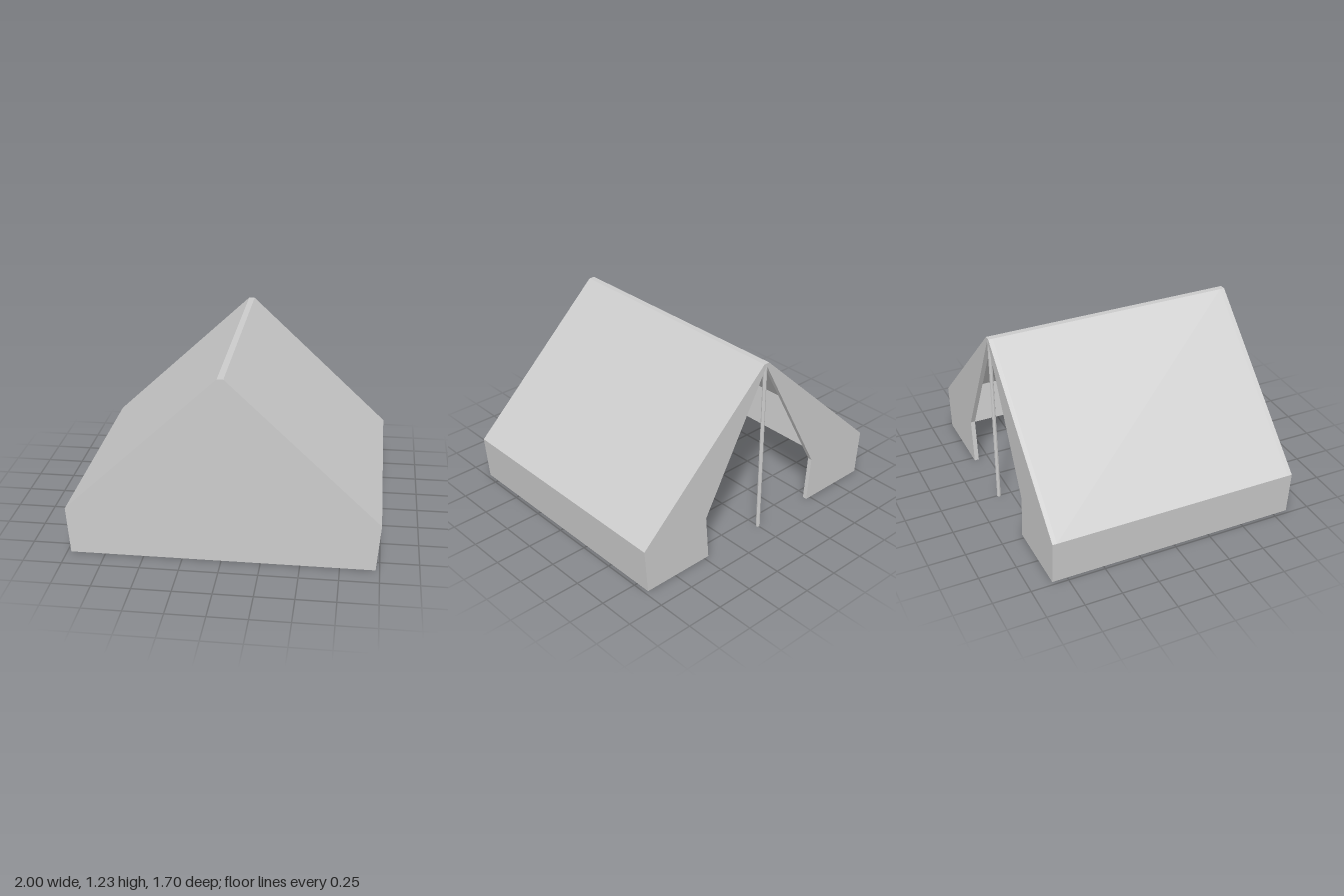
import * as THREE from 'three';

const HALF_LENGTH = 0.85, WALL = 0.03;

// right half of each cross-section, from the ground up to the ridge
const OUTER = [[0.975, 0], [1, 0.31], [0.02, 1.23]];
const INNER = [[0.945, 0], [0.969, 0.298], [0.008, 1.2]];
const DOOR = [[0.465, 0], [0.49, 0.31], [0.008, 1.2]];

// full arch from the +x foot over the ridge to the -x foot
const arch = half => [
  ...half.map(([x, y]) => new THREE.Vector2(x, y)),
  ...half.slice().reverse().map(([x, y]) => new THREE.Vector2(-x, y)),
];

// open band between two arches
const band = (outer, inner) => new THREE.Shape([...arch(outer), ...arch(inner).reverse()]);

export function createModel() {
  const tent = new THREE.Group();
  tent.name = 'tent';
  const material = new THREE.MeshStandardMaterial({ color: 0xcccccc, flatShading: true });

  const addPanel = (name, shape, z, depth) => {
    const geometry = new THREE.ExtrudeGeometry(shape, { depth, bevelEnabled: false });
    const mesh = new THREE.Mesh(geometry, material);
    mesh.name = name;
    mesh.position.z = z;
    tent.add(mesh);
  };

  // roof slopes and low side walls in one shell, open underneath
  addPanel('roofAndSides', band(OUTER, INNER), -HALF_LENGTH + WALL, 2 * (HALF_LENGTH - WALL));

  // closed gable at the front, gable with a doorway at the back
  addPanel('frontGable', new THREE.Shape(arch(OUTER)), HALF_LENGTH - WALL, WALL);
  addPanel('doorGable', band(OUTER, DOOR), -HALF_LENGTH, WALL);

  // upright pole in the doorway
  const pole = new THREE.Mesh(new THREE.CylinderGeometry(0.013, 0.013, 1.22, 8), material);
  pole.name = 'doorPole';
  pole.position.set(0, 0.61, -HALF_LENGTH + 0.012);
  tent.add(pole);

  return tent;
}
